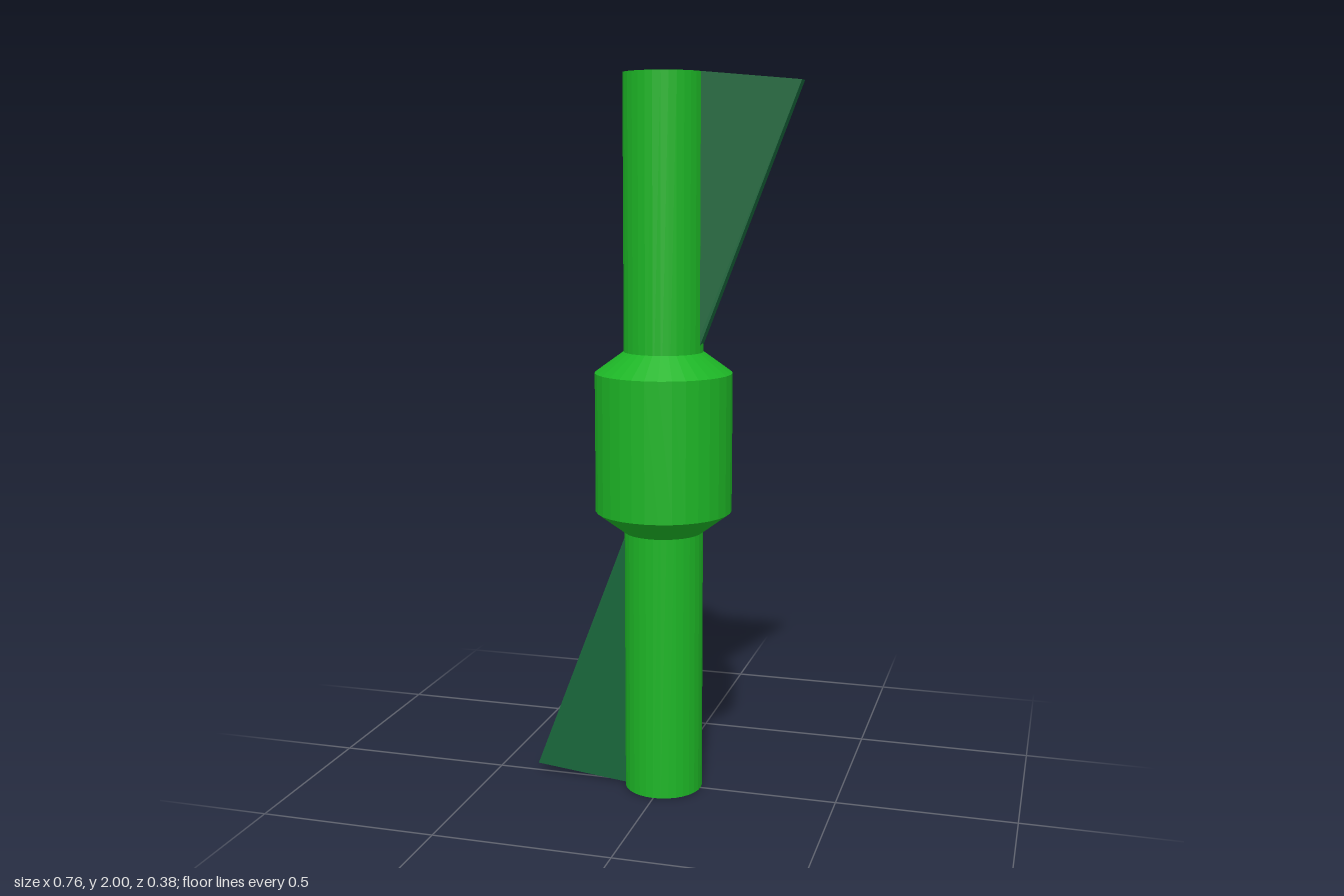
import * as THREE from 'three';

const SIDES = 32;
const ROD_R = 0.11;

export function createModel() {
  const model = new THREE.Group();
  const green = new THREE.MeshStandardMaterial({ color: 0x1db526, flatShading: true });
  const darkGreen = new THREE.MeshStandardMaterial({ color: 0x17663a, flatShading: true });

  const add = (name, geometry, material) => {
    const mesh = new THREE.Mesh(geometry, material);
    mesh.name = name;
    model.add(mesh);
    return mesh;
  };

  // Upper and lower halves of the shaft
  const rod = new THREE.CylinderGeometry(ROD_R, ROD_R, 1, SIDES);
  add('upperRod', rod, green).position.y = 1.5;
  add('lowerRod', rod, green).position.set(0, 0.5, -0.002);

  // Wide collar with chamfered shoulders
  const profile = [[ROD_R, 0.75], [0.19, 0.81], [0.19, 1.197], [ROD_R, 1.255]]
    .map(([r, y]) => new THREE.Vector2(r, y));
  add('collar', new THREE.LatheGeometry(profile, SIDES), green);

  // Triangular fin, rooted inside the shaft
  const outline = new THREE.Shape([[0.09, 1.255], [0.1, 1.255], [0.377, 1.975], [0.11, 2], [0.09, 2]]
    .map(([x, y]) => new THREE.Vector2(x, y - 1)));
  const depth = 0.042;
  const fin = new THREE.ExtrudeGeometry(outline, { depth, bevelEnabled: false });
  fin.translate(0, 0, -depth / 2);

  add('upperFin', fin, darkGreen).position.y = 1;

  // Opposite fin, half a turn round and slightly twisted
  const lowerFin = add('lowerFin', fin, darkGreen);
  lowerFin.position.set(-0.002, 1, -0.002);
  lowerFin.rotation.set(0, -0.026, Math.PI);

  return model;
}
